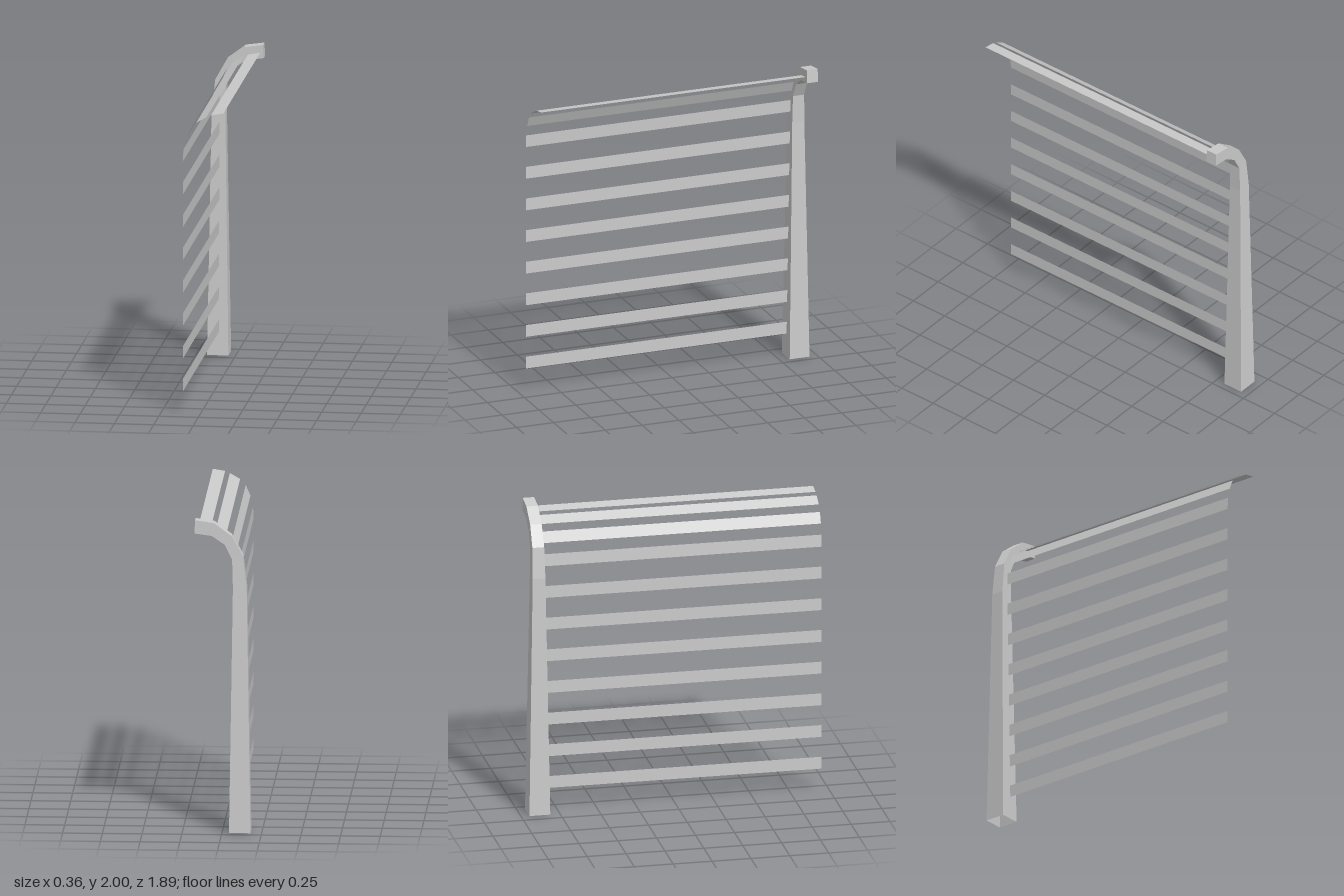
import * as THREE from 'three';

const material = new THREE.MeshStandardMaterial({ color: 0xcccccc, flatShading: true, side: THREE.DoubleSide });

// Post sections: outer x, y, inner x, y, half depth
const SECTIONS = [
  [-0.18, 0, -0.045, 0, 0.067],
  [-0.155, 1.57, -0.068, 1.57, 0.041],
  [-0.132, 1.77, -0.063, 1.75, 0.038],
  [-0.06, 1.9, -0.015, 1.845, 0.037],
  [0.052, 1.983, 0.065, 1.9, 0.037],
  [0.17, 2, 0.175, 1.915, 0.037],
];
const POST_Z = -0.88;

// Slats: edge-to-edge x, y pairs across the width
const SLATS = [
  [-0.085, 1.78, -0.055, 1.847],
  [-0.02, 1.885, 0.045, 1.923],
  [0.075, 1.936, 0.152, 1.949],
];
for (let i = 0; i < 8; i++) {
  const y = 0.152 + i * 0.2115;
  const lean = i === 7 ? 0.004 : 0;
  SLATS.push([-0.105, y, -0.105 + lean, y + 0.079]);
}

// Tapered square post bending over into an arm, open at the foot
function postGeometry() {
  const positions = [];
  const index = [];
  for (const [ox, oy, ix, iy, h] of SECTIONS) {
    positions.push(ox, oy, POST_Z + h, ix, iy, POST_Z + h, ix, iy, POST_Z - h, ox, oy, POST_Z - h);
  }
  for (let s = 0; s < SECTIONS.length - 1; s++) {
    for (let k = 0; k < 4; k++) {
      const a = s * 4 + k;
      const b = s * 4 + ((k + 1) % 4);
      index.push(a, b, b + 4, a, b + 4, a + 4);
    }
  }
  // Cap on the arm's tip
  const e = (SECTIONS.length - 1) * 4;
  index.push(e, e + 1, e + 2, e, e + 2, e + 3);
  const geometry = new THREE.BufferGeometry();
  geometry.setAttribute('position', new THREE.Float32BufferAttribute(positions, 3));
  geometry.setIndex(index);
  const flat = geometry.toNonIndexed();
  flat.computeVertexNormals();
  return flat;
}

// Thin flat slat running forward from the post
function slat([x0, y0, x1, y1], back) {
  const front = 0.947;
  const geometry = new THREE.PlaneGeometry(front - back, Math.hypot(x1 - x0, y1 - y0));
  geometry.rotateY(Math.PI / 2);
  geometry.rotateZ(Math.atan2(y1 - y0, x1 - x0) - Math.PI / 2);
  geometry.translate((x0 + x1) / 2, (y0 + y1) / 2, (front + back) / 2);
  return new THREE.Mesh(geometry, material);
}

export function createModel() {
  const model = new THREE.Group();
  model.name = 'slattedFence';

  const post = new THREE.Mesh(postGeometry(), material);
  post.name = 'post';
  model.add(post);

  const slats = new THREE.Group();
  slats.name = 'slats';
  SLATS.forEach((edge, i) => {
    // Stop each slat at the tapering face of the post
    const back = -0.815 - 0.03 * Math.min(1, edge[1] / 1.7);
    const mesh = slat(edge, back);
    mesh.name = `slat${i + 1}`;
    slats.add(mesh);
  });
  model.add(slats);
  return model;
}
